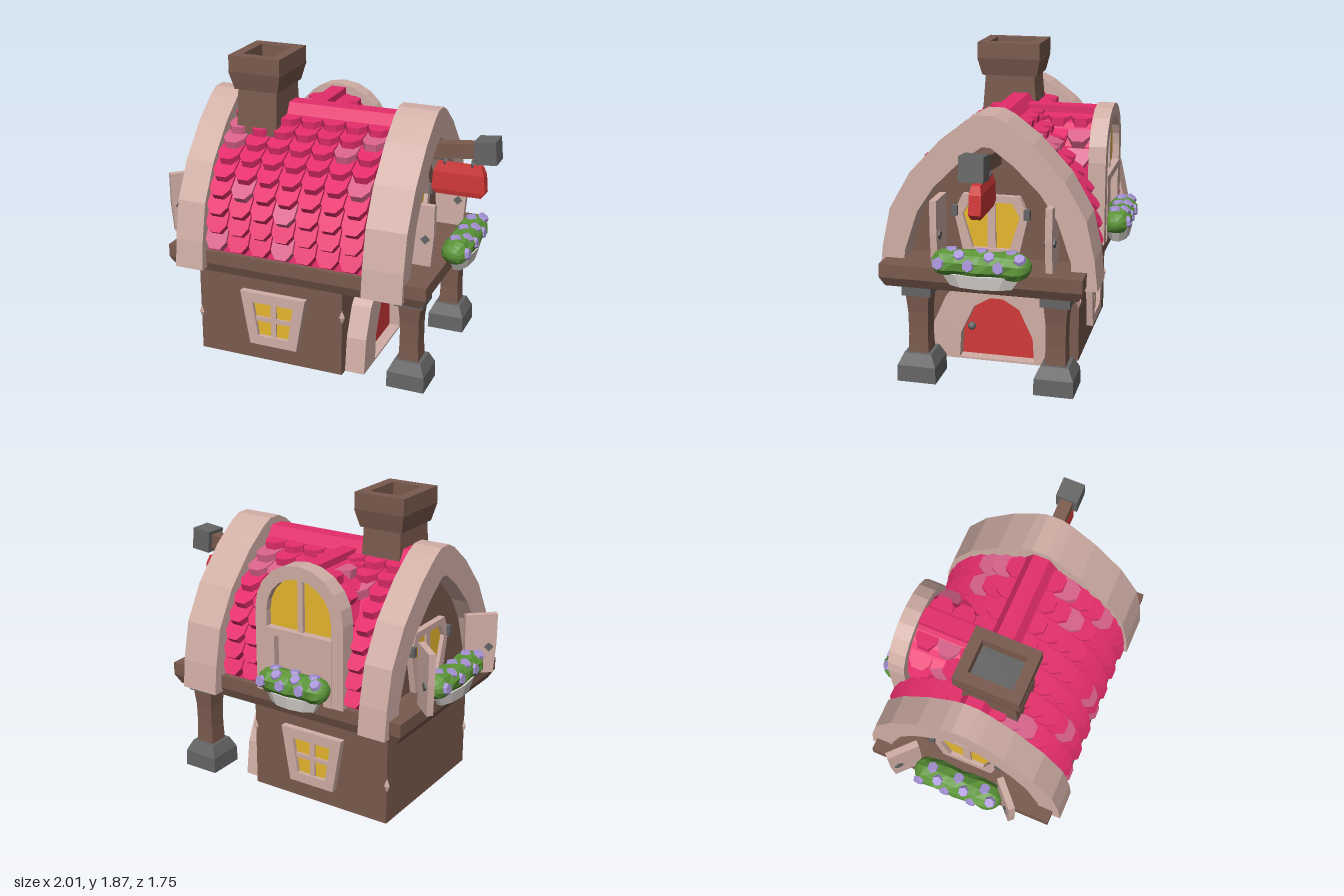
import * as THREE from 'three';
import { mergeGeometries } from 'three/addons/utils/BufferGeometryUtils.js';

const mat = (name, color) => Object.assign(new THREE.MeshStandardMaterial({ color }), { name });
const wood = mat('wood', 0x7a5a4e), stone = mat('stone', 0xd0aea5), pink = mat('roof pink', 0xe42d6b),
  paleTile = mat('pale tile', 0xd9628b), glass = mat('glass', 0xe6b62e), red = mat('red', 0xd23838),
  grey = mat('iron', 0x656565), green = mat('leaves', 0x5c9538), purple = mat('petals', 0xa794d6),
  white = mat('basin', 0xe0dbd7);

// Faceted normals for every part
function flat(g) {
  const f = g.index ? g.toNonIndexed() : g;
  f.computeVertexNormals();
  return f;
}
function add(parent, name, geo, material, x = 0, y = 0, z = 0) {
  const m = new THREE.Mesh(flat(geo), material);
  m.name = name;
  m.position.set(x, y, z);
  parent.add(m);
  return m;
}
const box = (w, h, d) => new THREE.BoxGeometry(w, h, d);

// Square loft through levels [y, width, depth]
function loft(levels) {
  const g = new THREE.BoxGeometry(1, 1, 1, 1, levels.length - 1, 1), p = g.attributes.position;
  for (let i = 0; i < p.count; i++) {
    const [y, w, d] = levels[Math.round((p.getY(i) + 0.5) * (levels.length - 1))];
    p.setXYZ(i, p.getX(i) * w, y, p.getZ(i) * d);
  }
  return g;
}

// Closed symmetric outline from a right-hand half profile, listed bottom to top
const both = half => [...half, ...half.filter(p => p[0] > 0).reverse().map(([x, y]) => [-x, y])]
  .map(([x, y]) => new THREE.Vector2(x, y));
function panel(half, depth, holeHalf) {
  const s = new THREE.Shape(both(half));
  if (holeHalf) s.holes.push(new THREE.Path(both(holeHalf)));
  return new THREE.ExtrudeGeometry(s, { depth, bevelEnabled: false });
}
// Outer outline joined to inner outline, open at the foot
function archBand(outer, inner, depth) {
  const s = new THREE.Shape([...both(outer), ...both(inner).reverse()]);
  return new THREE.ExtrudeGeometry(s, { depth, bevelEnabled: false });
}
const alongX = g => g.rotateY(Math.PI / 2);

// Framed window facing +z, foot at y = 0
function makeWindow(frame, pane, barWidth, crossBar) {
  const g = new THREE.Group();
  g.name = 'window';
  const y0 = pane[0][1], y1 = pane[pane.length - 1][1], mid = (y0 + y1) / 2;
  add(g, 'windowFrame', panel(frame, 0.04, pane), stone);
  add(g, 'windowGlass', panel(pane, 0.008), glass, 0, 0, 0.006);
  add(g, 'mullion', box(barWidth, y1 - y0, 0.025), stone, 0, mid, 0.014);
  if (crossBar) add(g, 'crossBar', box(pane[0][0] + pane[1][0], 0.03, 0.025), stone, 0, mid, 0.014);
  return g;
}

// Flower box running along x, leaning out to +z
function makeFlowerBox(length) {
  const g = new THREE.Group();
  g.name = 'flowerBox';
  const basin = new THREE.CylinderGeometry(0.09, 0.07, 0.08, 10);
  add(g, 'basin', basin, white, 0, -0.09, 0).scale.set(length * 4.8, 1, 0.9);
  const leaf = new THREE.CapsuleGeometry(0.087, length - 0.16, 5, 10, 6).rotateZ(Math.PI / 2);
  const p = leaf.attributes.position;
  for (let i = 0; i < p.count; i++) {
    const x = p.getX(i), y = p.getY(i), z = p.getZ(i);
    const k = 1 + 0.1 * Math.sin(x * 45 + y * 30) * Math.cos(z * 40 + x * 20);
    p.setXYZ(i, x, y * k * 0.9, z * k);
  }
  add(g, 'leaves', leaf, green);
  for (let i = 0; i < 9; i++) {
    const a = [0.15, 0.95, 1.75][(i * 2) % 3], f = add(g, 'flower', new THREE.CylinderGeometry(0.031, 0.038, 0.022, 6),
      purple, (i / 8 - 0.5) * (length - 0.1), Math.sin(a) * 0.076, Math.cos(a) * 0.083);
    f.rotation.x = Math.PI / 2 - a;
  }
  return g;
}

export function createModel() {
  const root = new THREE.Group(), house = new THREE.Group();
  root.name = 'cottage';
  house.name = 'house';
  house.rotation.y = THREE.MathUtils.degToRad(22);
  root.add(house);

  // Lower storey, floor beam and windows
  add(house, 'lowerWalls', box(0.95, 0.6, 0.97), wood, -0.2, 0.3, 0);
  add(house, 'floorBeam', loft([[0.59, 1.58, 1.14], [0.65, 1.65, 1.19], [0.73, 1.65, 1.19]]), wood, 0, 0, -0.005);
  for (const s of [1, -1]) {
    const w = makeWindow([[0.155, 0], [0.215, 0.35]], [[0.1, 0.06], [0.135, 0.285]], 0.035, true);
    w.position.set(-0.165, 0.12, s * 0.485);
    w.rotation.y = s > 0 ? 0 : Math.PI;
    house.add(w);
    for (const [x, y] of [[-0.672, 0.25], [0.272, 0.39]])
      add(house, 'wallChip', new THREE.OctahedronGeometry(0.02), stone, x, y, s * 0.48).scale.y = 2.7;
  }

  // Doorway
  const doorHalf = [[0.235, 0], [0.225, 0.17], [0.14, 0.35], [0.04, 0.41]];
  add(house, 'doorArch', alongX(archBand([[0.43, 0], [0.4, 0.22], [0.32, 0.4], [0.18, 0.52], [0.05, 0.56]], doorHalf, 0.14)),
    stone, 0.26);
  add(house, 'door', alongX(panel(doorHalf, 0.07)), red, 0.26, 0.004);
  add(house, 'doorKnob', new THREE.IcosahedronGeometry(0.026, 1), grey, 0.35, 0.2, 0.17);
  add(house, 'threshold', box(0.14, 0.012, 0.8), stone, 0.33, 0.006, 0);

  // Porch pillars
  for (const z of [-0.435, 0.385]) {
    add(house, 'pillarFoot', loft([[0, 0.235, 0.235], [0.1, 0.23, 0.23], [0.17, 0.165, 0.165]]), grey, 0.685, 0, z);
    add(house, 'pillar', loft([[0.16, 0.125, 0.125], [0.28, 0.115, 0.115], [0.42, 0.115, 0.12], [0.54, 0.14, 0.14]]),
      wood, 0.685, 0, z);
    add(house, 'pillarCap', box(0.175, 0.06, 0.175), grey, 0.685, 0.56, z);
  }

  // Roof core, gable walls and end arches
  const roof = [[0.56, 0.72], [0.52, 1.0], [0.41, 1.22], [0.24, 1.38], [0.05, 1.49]];
  const gable = [[0.51, 0.7], [0.48, 0.98], [0.37, 1.2], [0.2, 1.36], [0.04, 1.46]];
  const outer = [[0.645, 0.62], [0.625, 0.8], [0.575, 1.03], [0.45, 1.25], [0.265, 1.45], [0.115, 1.565], [0.045, 1.6]];
  const inner = [[0.5, 0.62], [0.49, 0.78], [0.41, 1.02], [0.31, 1.17], [0.16, 1.32], [0.025, 1.42]];
  add(house, 'roofCore', alongX(panel(roof, 1.05)), pink, -0.6);
  add(house, 'gableWalls', alongX(panel(gable, 1.18)), wood, -0.64);
  add(house, 'leftArch', alongX(archBand(outer, inner, 0.18)), stone, -0.75);
  add(house, 'rightArch', alongX(archBand(outer, inner, 0.25)), stone, 0.445, 0, -0.018);
  add(house, 'ridgeCap', alongX(panel([[0.11, 1.46], [0.05, 1.555]], 1.03)), pink, -0.58);

  // Roof tiles, thick and tipped out at the foot
  const w = 0.068, tileGeo = flat(new THREE.ExtrudeGeometry(new THREE.Shape(
    [[-w, 0.07], [-w, -0.03], [-w * 0.5, -0.08], [w * 0.5, -0.08], [w, -0.03], [w, 0.07]]
      .map(p => new THREE.Vector2(...p))), { depth: 0.055, bevelEnabled: false }).rotateX(-0.42).translate(0, 0, -0.025));
  const tiles = [[], []];
  let seed = 7;
  const rand = () => (seed = (seed * 16807) % 2147483647) / 2147483647;
  const placeTile = (pos, across, up) => {
    const m = new THREE.Matrix4().makeBasis(across, up, new THREE.Vector3().crossVectors(across, up));
    tiles[rand() < 0.22 ? 1 : 0].push(tileGeo.clone().applyMatrix4(m.setPosition(pos)));
  };
  const slope = new THREE.CatmullRomCurve3(roof.map(([z, y]) => new THREE.Vector3(0, y, z)));
  for (const s of [1, -1]) for (let r = 0; r < 9; r++) {
    const t = 0.09 + r * 0.105, p = slope.getPointAt(t), d = slope.getTangentAt(t);
    for (let c = 0; c < 7; c++) {
      const x = -0.5 + c * 0.144;
      if (s < 0 && x > -0.45 && x < 0.16 && p.y < 1.3) continue;
      placeTile(new THREE.Vector3(x, p.y, s * p.z), new THREE.Vector3(s, 0, 0), new THREE.Vector3(0, d.y, s * d.z));
    }
  }

  // Dormer on the back slope
  const dormer = new THREE.Group();
  dormer.name = 'dormer';
  dormer.position.x = -0.145;
  dormer.rotation.y = Math.PI;
  house.add(dormer);
  const arc = (r, foot) => [[r, foot], ...[0, 18, 36, 54, 72, 90].map(a => {
    const q = THREE.MathUtils.degToRad(a);
    return [a === 90 ? 0 : r * Math.cos(q), 1.23 + r * Math.sin(q)];
  })];
  add(dormer, 'dormerRoof', panel(arc(0.25, 0.72), 0.5), pink, 0, 0, 0.01);
  add(dormer, 'dormerArch', archBand(arc(0.305, 0.72), arc(0.225, 0.72), 0.105), stone, 0, 0, 0.505);
  add(dormer, 'dormerRecess', panel([[0.23, 0.72], [0.23, 1.12]], 0.008), stone, 0, 0, 0.563);
  add(dormer, 'dormerGlass', panel(arc(0.23, 1.12), 0.008), glass, 0, 0, 0.56);
  add(dormer, 'dormerSill', box(0.46, 0.045, 0.09), stone, 0, 1.11, 0.57);
  add(dormer, 'dormerMullion', box(0.035, 0.33, 0.03), stone, 0, 1.28, 0.575);
  for (const s of [1, -1]) add(dormer, 'dormerPost', box(0.06, 0.38, 0.08), stone, s * 0.2, 0.91, 0.575);
  add(dormer, 'dormerRidge', box(0.1, 0.06, 0.5), pink, 0, 1.485, 0.26);
  const dormerFlowers = makeFlowerBox(0.46);
  dormerFlowers.position.set(0, 0.83, 0.66);
  dormer.add(dormerFlowers);
  for (const s of [1, -1]) for (const a of [5, 35, 65]) for (let k = 0; k < 3; k++) {
    const q = THREE.MathUtils.degToRad(a), c = Math.cos(q), n = Math.sin(q);
    placeTile(new THREE.Vector3(-0.145 + s * 0.235 * c, 1.22 + 0.235 * n, -0.43 + k * 0.14),
      new THREE.Vector3(0, 0, -s), new THREE.Vector3(-s * n, c, 0));
  }
  add(house, 'roofTiles', mergeGeometries(tiles[0]), pink);
  add(house, 'paleRoofTiles', mergeGeometries(tiles[1]), paleTile);

  // Chimney: shaft, hollow cap and dark flue
  const chimney = new THREE.Group();
  chimney.name = 'chimney';
  chimney.position.set(-0.375, 0, 0.075);
  house.add(chimney);
  add(chimney, 'chimneyShaft', loft([[1.2, 0.27, 0.38], [1.42, 0.26, 0.35], [1.68, 0.25, 0.31]]), wood);
  add(chimney, 'chimneyCap', loft([[1.66, 0.28, 0.35], [1.77, 0.335, 0.4]]), wood);
  for (const s of [1, -1]) {
    add(chimney, 'capRim', box(0.065, 0.1, 0.395), wood, s * 0.133, 1.82, 0);
    add(chimney, 'capRim', box(0.205, 0.1, 0.065), wood, 0, 1.82, s * 0.165);
  }
  add(chimney, 'flue', box(0.205, 0.008, 0.27), grey, 0, 1.774, 0);

  // Gable windows, shutters and flower boxes at both ends
  for (const s of [1, -1]) {
    const end = new THREE.Group(), right = s > 0, wall = right ? 0.54 : 0.64;
    end.name = right ? 'rightBalcony' : 'leftBalcony';
    end.rotation.y = s * Math.PI / 2;
    house.add(end);
    const win = makeWindow([[0.16, 0], [0.22, 0.27], [0.17, 0.38]], [[0.11, 0.06], [0.17, 0.26], [0.125, 0.34]], 0.05, false);
    win.position.set(s * 0.015, 0.73, wall);
    end.add(win);
    const flowers = makeFlowerBox(0.56);
    flowers.position.set(right ? 0.035 : 0, right ? 0.795 : 0.825, right ? 0.87 : 0.835);
    end.add(flowers);
    for (const k of [1, -1]) {
      add(end, 'windowHinge', box(0.035, 0.06, 0.04), grey, k * 0.215 + s * 0.015, 1.01, wall + 0.04);
      const sh = new THREE.Group();
      sh.name = 'shutter';
      sh.position.set(k * 0.335 + (right ? 0.06 : -0.015), 0.92, right ? 0.67 : 0.84);
      sh.rotation.y = right ? 0 : k * 0.75;
      add(sh, 'shutterBoard', loft([[-0.19, 0.04, 0.17], [0, 0.04, 0.2], [0.19, 0.04, 0.2]]), stone);
      add(sh, 'shutterStud', box(0.06, 0.04, 0.04), grey, 0, -0.02, 0.05).rotation.x = Math.PI / 4;
      end.add(sh);
    }
  }

  // Hanging sign
  const sign = new THREE.Group();
  sign.name = 'hangingSign';
  sign.position.z = -0.03;
  house.add(sign);
  add(sign, 'signPole', box(0.45, 0.09, 0.08), wood, 0.74, 1.355, 0).rotation.z = 0.1;
  add(sign, 'poleCap', box(0.13, 0.14, 0.14), grey, 0.985, 1.378, 0).rotation.z = 0.1;
  add(sign, 'signBoard', loft([[1.08, 0.28, 0.055], [1.11, 0.33, 0.07], [1.22, 0.31, 0.07], [1.27, 0.27, 0.05]]), red, 0.82);
  for (const x of [0.73, 0.9]) add(sign, 'signRing', new THREE.TorusGeometry(0.028, 0.008, 5, 8), grey, x, 1.285, 0).rotation.y = Math.PI / 2;

  return root;
}
